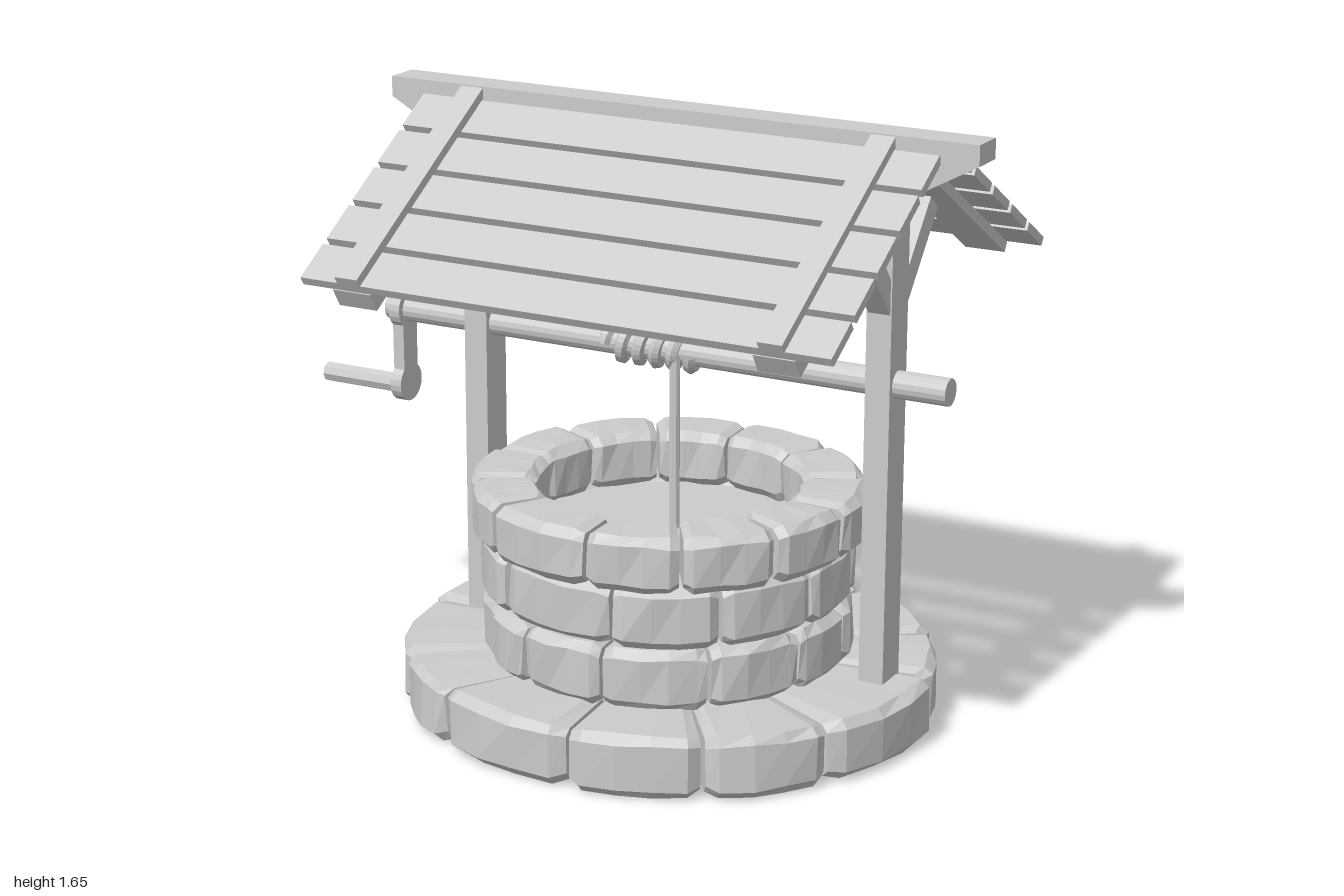
import * as THREE from 'three';

const CX = 0.13, CZ = -0.02; // middle of the timber frame
const POSTS = [-0.475, 0.737];

const flat = () => new THREE.MeshStandardMaterial({ color: 0xcccccc, flatShading: true });

function add(parent, name, geometry, x = 0, y = 0, z = 0) {
  const mesh = new THREE.Mesh(geometry, flat());
  mesh.name = name;
  mesh.position.set(x, y, z);
  parent.add(mesh);
  return mesh;
}

function seeded(seed) {
  let s = seed;
  return () => (s = (s * 16807) % 2147483647) / 2147483647;
}

// One curved block: chamfered cross-sections swept from angle a0 to a1
function stoneGeometry(ri, ro, y0, y1, a0, a1, squash, rand) {
  const c = 0.024, pos = [], index = [];
  const section = [
    [ri + c, y0], [ro - c, y0], [ro, y0 + c], [ro, y1 - c],
    [ro - c, y1], [ri + c, y1], [ri, y1 - c], [ri, y0 + c],
  ];
  const n = section.length, rm = (ri + ro) / 2, ym = (y0 + y1) / 2;
  const steps = [[0, 0.84], [0.1, 0.98], [0.37, 1], [0.63, 1], [0.9, 0.98], [1, 0.84]];
  for (const [t, k] of steps) {
    const a = a0 + (a1 - a0) * t;
    for (const [r, y] of section) {
      const rr = rm + (r - rm) * k + (rand() - 0.5) * 0.012;
      const yy = ym + (y - ym) * k + (rand() - 0.5) * 0.006;
      pos.push(Math.sin(a) * rr, yy, Math.cos(a) * rr * squash);
    }
  }
  for (let j = 0; j < steps.length - 1; j++) {
    for (let i = 0; i < n; i++) {
      const a = j * n + i, d = j * n + (i + 1) % n;
      index.push(a, a + n, d + n, a, d + n, d);
    }
  }
  const e = (steps.length - 1) * n;
  for (let i = 1; i < n - 1; i++) index.push(0, i, i + 1, e, e + i + 1, e + i);
  const g = new THREE.BufferGeometry();
  g.setAttribute('position', new THREE.Float32BufferAttribute(pos, 3));
  g.setIndex(index);
  g.computeVertexNormals();
  return g;
}

function stoneRing(name, { ri, ro, y0, y1, count, turn, squash, x, z, seed }) {
  const ring = new THREE.Group(), rand = seeded(seed);
  ring.name = name;
  ring.position.set(x, 0, z);
  const step = Math.PI * 2 / count, gap = 0.006 / ro;
  const seams = Array.from({ length: count }, (_, i) => turn + (i + (rand() - 0.5) * 0.35) * step);
  seams.push(seams[0] + Math.PI * 2);
  for (let i = 0; i < count; i++) {
    const out = ro + (rand() - 0.5) * 0.016;
    add(ring, 'stone', stoneGeometry(ri, out, y0, y1, seams[i] + gap, seams[i + 1] - gap, squash, rand));
  }
  return ring;
}

// One roof slope; local +z runs down the slope, local y is its normal
function roofSlope(name, rafterThickness) {
  const slope = new THREE.Group();
  slope.name = name;
  for (let i = 0; i < 5; i++) {
    add(slope, 'roofPlank', new THREE.BoxGeometry(1.52, 0.025, 0.125), 0.135, -0.037, 0.088 + i * 0.146);
  }
  for (const x of POSTS) {
    add(slope, 'batten', new THREE.BoxGeometry(0.068, 0.026, 0.737), x, -0.013, 0.3685);
    add(slope, 'rafter', new THREE.BoxGeometry(0.115, rafterThickness, 0.70), x, -0.05 - rafterThickness / 2, 0.387);
  }
  return slope;
}

function buildRoof() {
  const roof = new THREE.Group();
  roof.name = 'roof';
  // ridge beam with undercut ends
  const s = new THREE.Shape();
  [[-0.73, 1.655], [-0.73, 1.6], [-0.51, 1.48], [0.78, 1.48], [1, 1.6], [1, 1.655]]
    .forEach(([x, y], i) => (i ? s.lineTo(x, y) : s.moveTo(x, y)));
  add(roof, 'ridgeBeam', new THREE.ExtrudeGeometry(s, { depth: 0.1, bevelEnabled: false }), 0, 0, CZ - 0.05);

  for (const side of [1, -1]) {
    const pivot = new THREE.Group();
    pivot.position.set(0, 1.653, CZ + side * 0.047);
    const slope = roofSlope(side > 0 ? 'frontSlope' : 'backSlope', side > 0 ? 0.057 : 0.03);
    slope.rotation.x = side * 0.551;
    if (side < 0) slope.children.forEach((m) => { m.position.z *= -1; });
    pivot.add(slope);
    roof.add(pivot);
  }
  return roof;
}

function buildFrame() {
  const frame = new THREE.Group();
  frame.name = 'frame';
  for (const x of POSTS) {
    add(frame, 'post', new THREE.BoxGeometry(0.07, 1.36, 0.1), x, 0.84, CZ);
    for (const side of [1, -1]) {
      const brace = add(frame, 'brace', new THREE.BoxGeometry(0.062, 0.3, 0.06), x, 1.312, CZ + side * 0.115);
      brace.rotation.x = side * 0.69;
    }
  }
  return frame;
}

function buildWinch() {
  const winch = new THREE.Group();
  winch.name = 'winch';
  winch.position.set(0, 0.99, CZ);
  const rod = (name, r, x0, x1, y, sides) => {
    const m = add(winch, name, new THREE.CylinderGeometry(r, r, x1 - x0, sides), (x0 + x1) / 2, y, 0);
    m.rotation.z = Math.PI / 2;
  };
  rod('axle', 0.037, -0.78, 0.92, 0, 16);
  rod('crankHandle', 0.028, -1, -0.73, -0.225, 8);

  // crank arm: plate with two rounded ends and a narrower waist
  const arm = new THREE.Shape();
  arm.absarc(0, 0, 0.056, -0.9, Math.PI + 0.9, false);
  arm.absarc(0, -0.215, 0.054, Math.PI - 0.9, 0.9 + Math.PI * 2, false);
  const armGeo = new THREE.ExtrudeGeometry(arm, { depth: 0.034, bevelEnabled: false, curveSegments: 8 });
  add(winch, 'crankArm', armGeo, -0.755, 0, 0).rotation.y = Math.PI / 2;

  // rope wound on the axle, then dropping into the shaft
  const turns = 5, pts = [];
  for (let i = 0; i <= turns * 12; i++) {
    const a = i / 12 * Math.PI * 2;
    pts.push(new THREE.Vector3(-0.075 + 0.052 * i / 12, Math.sin(a) * 0.042, Math.cos(a) * 0.042));
  }
  const coil = new THREE.CatmullRomCurve3(pts);
  add(winch, 'ropeCoil', new THREE.TubeGeometry(coil, 120, 0.018, 6));
  add(winch, 'rope', new THREE.CylinderGeometry(0.015, 0.015, 0.54, 8), 0.138, -0.27, 0.035);
  return winch;
}

export function createModel() {
  const model = new THREE.Group();
  model.name = 'well';

  // stone courses, from the footing up
  const courses = [
    ['footing', { ri: 0.43, ro: 0.742, y0: 0.005, y1: 0.175, count: 12, turn: -0.42, squash: 0.945, x: 0.12, z: 0.005, seed: 11 }],
    ['lowerCourse', { ri: 0.37, ro: 0.498, y0: 0.168, y1: 0.337, count: 12, turn: -0.3, squash: 1, x: 0.125, z: 0.03, seed: 23 }],
    ['middleCourse', { ri: 0.37, ro: 0.498, y0: 0.335, y1: 0.508, count: 11, turn: -0.45, squash: 1, x: 0.12, z: 0.02, seed: 37 }],
    ['rimCourse', { ri: 0.355, ro: 0.535, y0: 0.503, y1: 0.657, count: 12, turn: -0.5, squash: 0.99, x: 0.13, z: 0.03, seed: 51 }],
  ];
  for (const [name, options] of courses) model.add(stoneRing(name, options));

  // water surface, seen from above only
  add(model, 'water', new THREE.CircleGeometry(0.39, 32), CX, 0.5, 0.025).rotation.x = -Math.PI / 2;

  model.add(buildFrame(), buildRoof(), buildWinch());
  return model;
}
